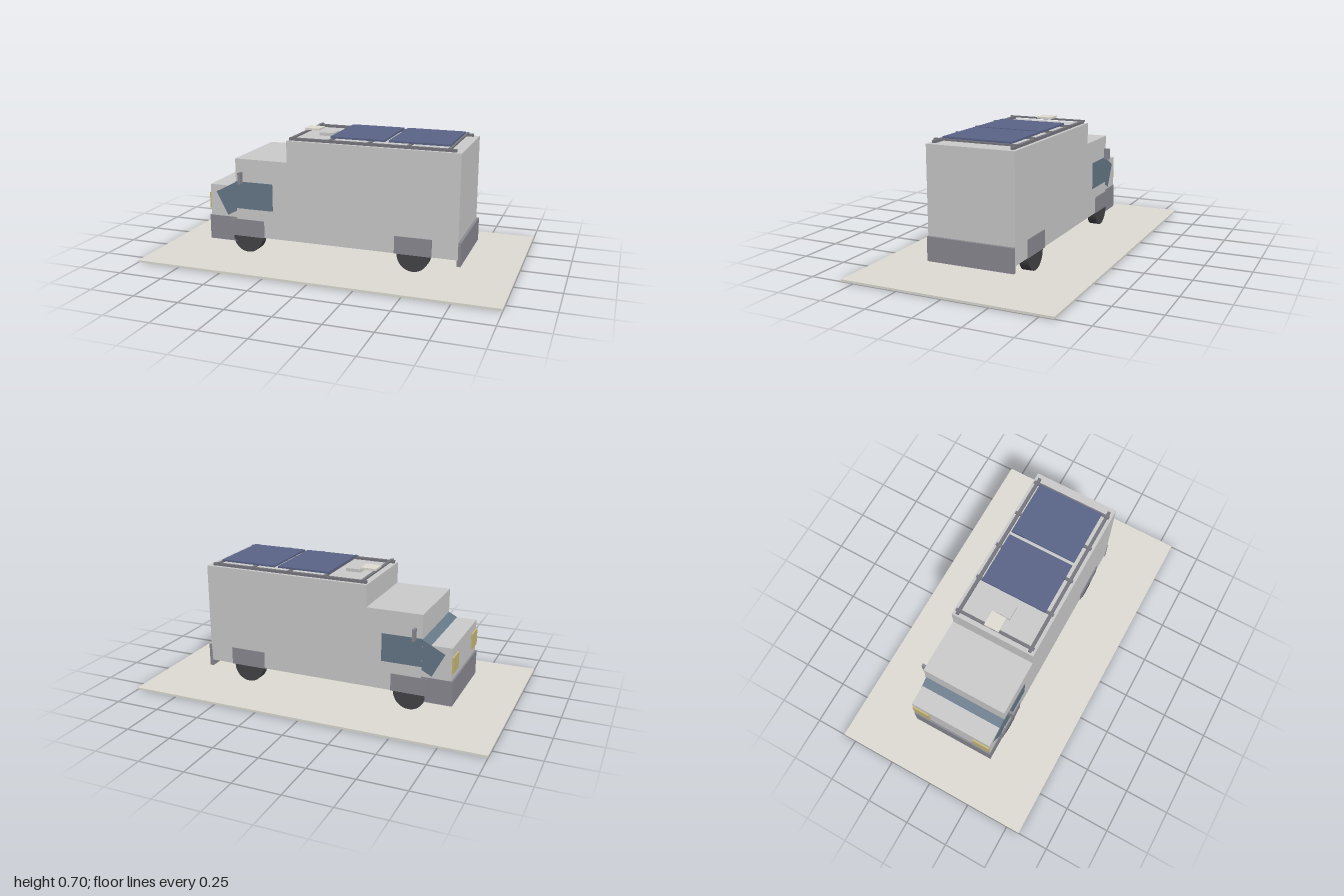
import * as THREE from 'three';

const mat = (color) => new THREE.MeshStandardMaterial({ color });

export function createModel() {
  const van = new THREE.Group();
  van.name = 'camperVan';
  const grey = mat(0xcccccc), trim = mat(0x8a8a92), glass = mat(0x667888), dark = mat(0x77777f);
  const rubber = mat(0x444448), solar = mat(0x5a6488), lamp = mat(0xc8b878), cream = mat(0xe0ddd4);

  // Box given by its extents on each axis
  function box(name, x, y, z, material) {
    const mesh = new THREE.Mesh(
      new THREE.BoxGeometry(x[1] - x[0], y[1] - y[0], z[1] - z[0]), material);
    mesh.position.set((x[0] + x[1]) / 2, (y[0] + y[1]) / 2, (z[0] + z[1]) / 2);
    mesh.name = name;
    van.add(mesh);
    return mesh;
  }
  // The same box on both flanks (z and -z)
  function pair(name, x, y, z, material) {
    box(name, x, y, z, material);
    box(name, x, y, [-z[1], -z[0]], material);
  }

  box('groundPlate', [-1, 1], [0, 0.012], [-0.575, 0.575], mat(0xdedcd4));

  // Body shell
  box('cargoBody', [-0.245, 0.71], [0.105, 0.67], [-0.243, 0.243], grey);
  box('cab', [-0.555, -0.245], [0.105, 0.55], [-0.243, 0.243], grey);
  box('hood', [-0.715, -0.555], [0.21, 0.39], [-0.24, 0.24], grey);
  box('frontBumper', [-0.725, -0.555], [0.07, 0.21], [-0.242, 0.242], trim);
  box('rearBumper', [0.705, 0.725], [0.07, 0.2], [-0.243, 0.243], trim);

  // Slanted windscreen block, its rear end buried in the cab
  const screen = box('windscreen', [-0.656, -0.456], [0.257, 0.405], [-0.242, 0.242], glass);
  screen.rotation.z = 0.48;

  pair('sideWindow', [-0.555, -0.333], [0.265, 0.42], [0.24, 0.246], glass);
  pair('mirror', [-0.525, -0.51], [0.413, 0.478], [0.249, 0.282], trim);
  pair('headlight', [-0.724, -0.71], [0.25, 0.34], [0.138, 0.238], lamp);

  // Wheels and the fender panels above them
  const wheelGeometry = new THREE.CylinderGeometry(0.088, 0.088, 0.054, 32);
  wheelGeometry.rotateX(Math.PI / 2);
  for (const x of [-0.49, 0.469]) {
    for (const side of [1, -1]) {
      const wheel = new THREE.Mesh(wheelGeometry, rubber);
      wheel.name = 'wheel';
      wheel.position.set(x, 0.1, side * 0.215);
      van.add(wheel);
    }
    pair('fender', [x - 0.102, x + 0.102], [0.105, 0.202], [0.238, 0.248], trim);
  }

  // Roof rack
  pair('roofRail', [-0.235, 0.68], [0.67, 0.685], [0.207, 0.224], dark);
  for (let i = 0; i < 5; i++) {
    const x = -0.215 + i * 0.215;
    box('crossBar', [x - 0.008, x + 0.008], [0.681, 0.69], [-0.232, 0.232], dark);
  }

  // Solar panels, flat antenna and roof vent
  for (const x of [[-0.012, 0.292], [0.313, 0.64]]) {
    box('solarPanel', x, [0.69, 0.7], [-0.193, 0.188], solar);
  }
  box('antenna', [-0.225, -0.138], [0.694, 0.705], [-0.058, 0.028], cream);
  box('roofVent', [-0.13, -0.047], [0.67, 0.688], [-0.042, 0.042], grey);

  return van;
}
